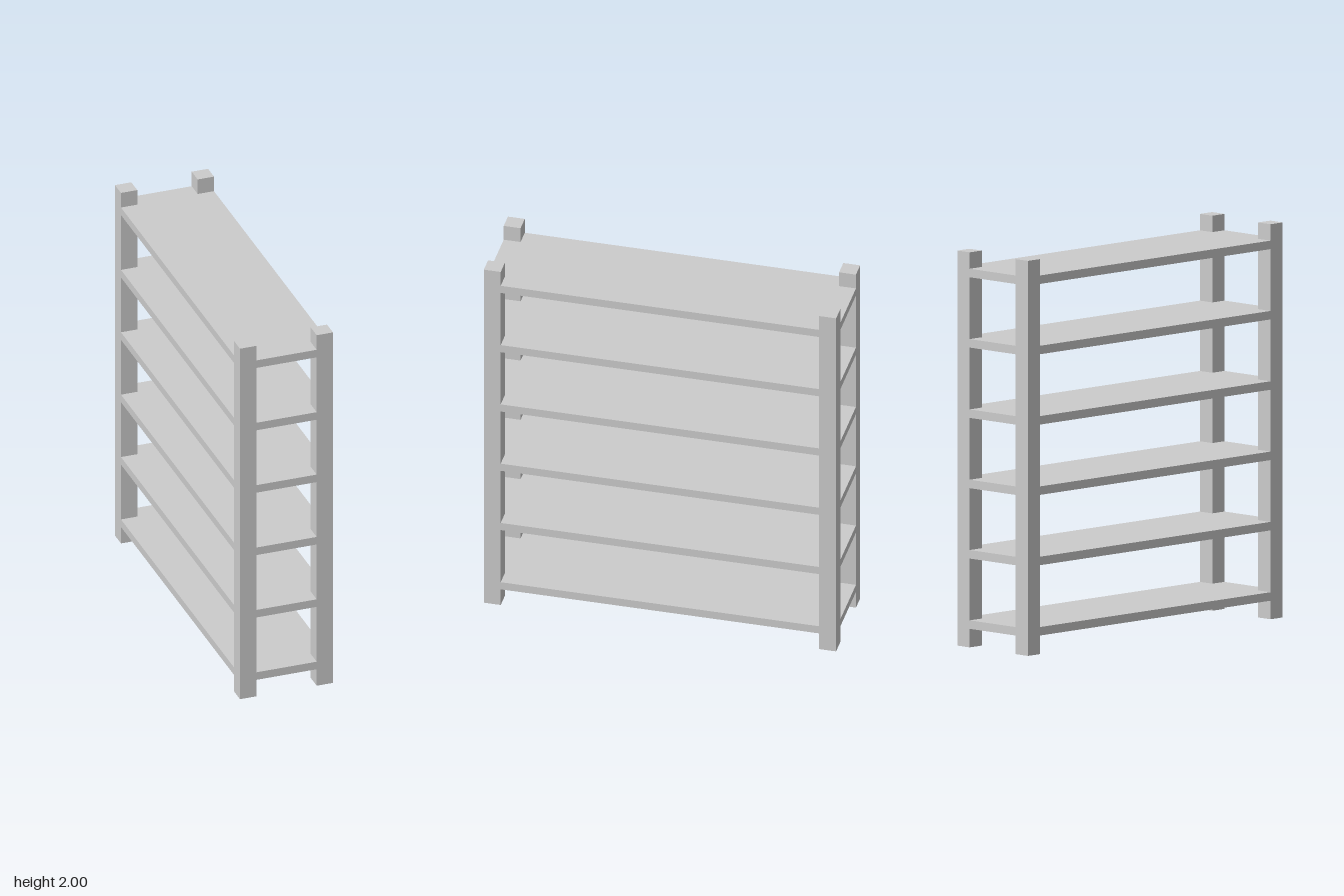
import * as THREE from 'three';

const HALF_X = 0.248, HALF_Z = 0.909, HEIGHT = 2;
const POST = 0.087;
const SHELVES = 6, THICK = 0.043, FIRST = 0.094, PITCH = 0.356;

// Rectangle with a square notch at each corner for the posts
function shelfGeometry() {
  const ix = HALF_X - POST, iz = HALF_Z - POST;
  const shape = new THREE.Shape([
    [ix, -HALF_Z], [ix, -iz], [HALF_X, -iz], [HALF_X, iz], [ix, iz], [ix, HALF_Z],
    [-ix, HALF_Z], [-ix, iz], [-HALF_X, iz], [-HALF_X, -iz], [-ix, -iz], [-ix, -HALF_Z],
  ].map(([x, z]) => new THREE.Vector2(x, z)));
  // Lay flat so the thickness rises along y
  return new THREE.ExtrudeGeometry(shape, { depth: THICK, bevelEnabled: false }).rotateX(-Math.PI / 2);
}

export function createModel() {
  const group = new THREE.Group();
  group.name = 'shelvingUnit';
  const material = new THREE.MeshStandardMaterial({ color: 0xcccccc });

  const add = (name, geometry, x, y, z) => {
    const mesh = new THREE.Mesh(geometry, material);
    mesh.name = name;
    mesh.position.set(x, y, z);
    group.add(mesh);
  };

  // Corner posts
  const post = new THREE.BoxGeometry(POST, HEIGHT, POST);
  for (const [side, sx] of [['Left', 1], ['Right', -1]]) {
    for (const [end, sz] of [['front', 1], ['back', -1]]) {
      add(`${end}${side}Post`, post, sx * (HALF_X - POST / 2), HEIGHT / 2, sz * (HALF_Z - POST / 2));
    }
  }

  // Evenly spaced shelves, flush with the outside of the posts
  const shelf = shelfGeometry();
  for (let i = 0; i < SHELVES; i++) add(`shelf${i + 1}`, shelf, 0, FIRST + i * PITCH, 0);

  return group;
}
